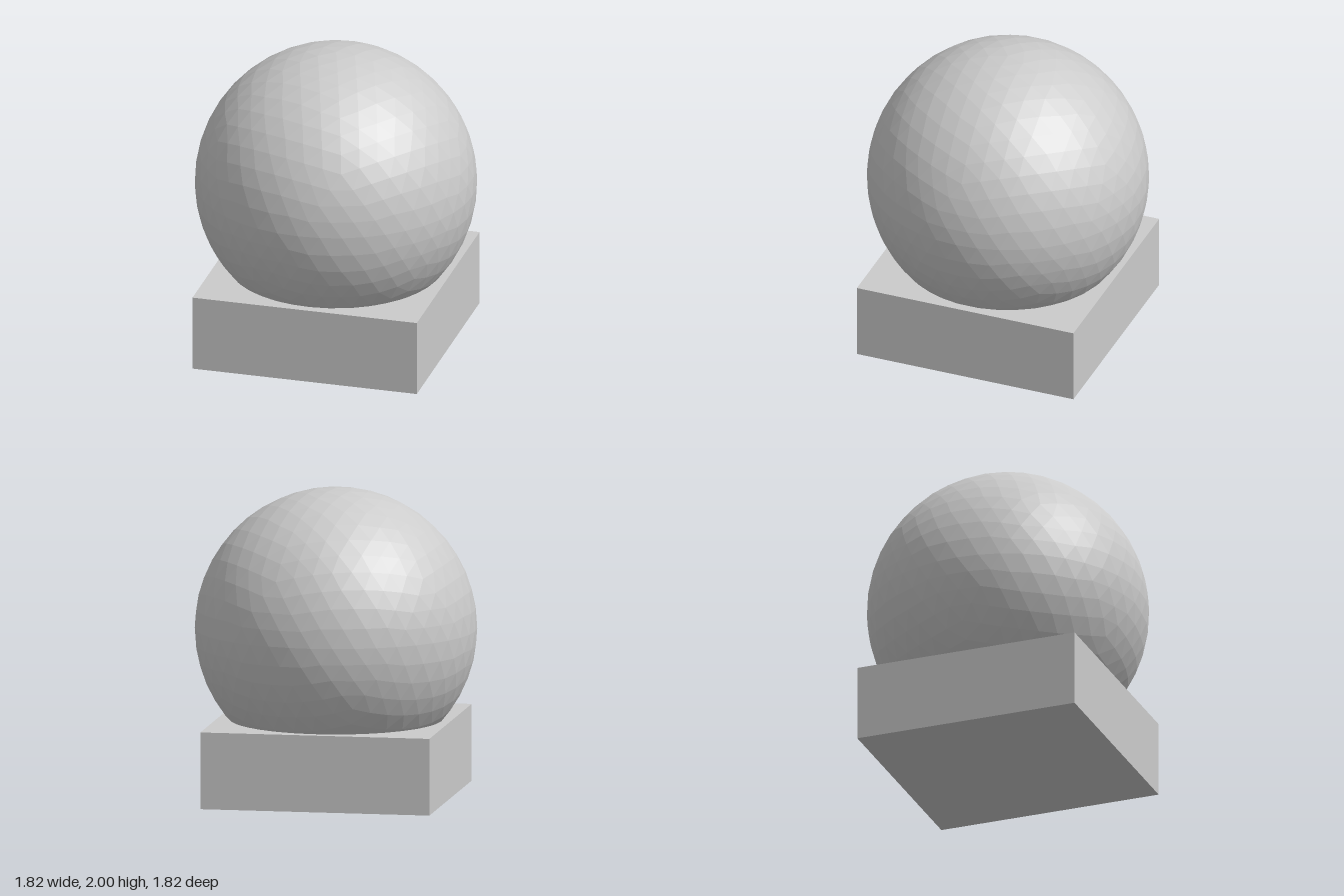
import * as THREE from 'three';

const RADIUS = 0.91;

// Icosahedron with a corner at each pole, halved three times into a faceted ball
function createBallGeometry() {
  let vertices = [0, 1, 0, 0, -1, 0];
  let faces = [];
  const h = Math.sqrt(0.2), r = 2 * h;
  for (let i = 0; i < 5; i++) {
    const a = (i * 2 * Math.PI) / 5, b = a + Math.PI / 5;
    vertices.push(r * Math.cos(a), h, r * Math.sin(a)); // upper ring
    vertices.push(r * Math.cos(b), -h, r * Math.sin(b)); // lower ring
    const j = (i + 1) % 5;
    const u = 2 + 2 * i, l = u + 1, u2 = 2 + 2 * j, l2 = u2 + 1;
    faces.push(0, u2, u, u, u2, l, l, u2, l2, 1, l, l2);
  }
  let geometry;
  for (let level = 0; level < 3; level++) {
    geometry = new THREE.PolyhedronGeometry(vertices, faces, RADIUS, 1);
    vertices = Array.from(geometry.attributes.position.array);
    faces = Array.from({ length: vertices.length / 3 }, (_, k) => k);
  }
  geometry.computeVertexNormals();
  return geometry;
}

export function createModel() {
  const model = new THREE.Group();
  model.name = 'ballOnPlinth';
  const material = new THREE.MeshStandardMaterial({ color: 0xcccccc, flatShading: true });

  // Square plinth
  const plinth = new THREE.Mesh(new THREE.BoxGeometry(1.5, 0.5, 1.5), material);
  plinth.name = 'plinth';
  plinth.position.y = 0.25;

  // Ball sunk into the plinth
  const ball = new THREE.Mesh(createBallGeometry(), material);
  ball.name = 'ball';
  ball.position.y = 2 - RADIUS;

  model.add(plinth, ball);
  return model;
}
